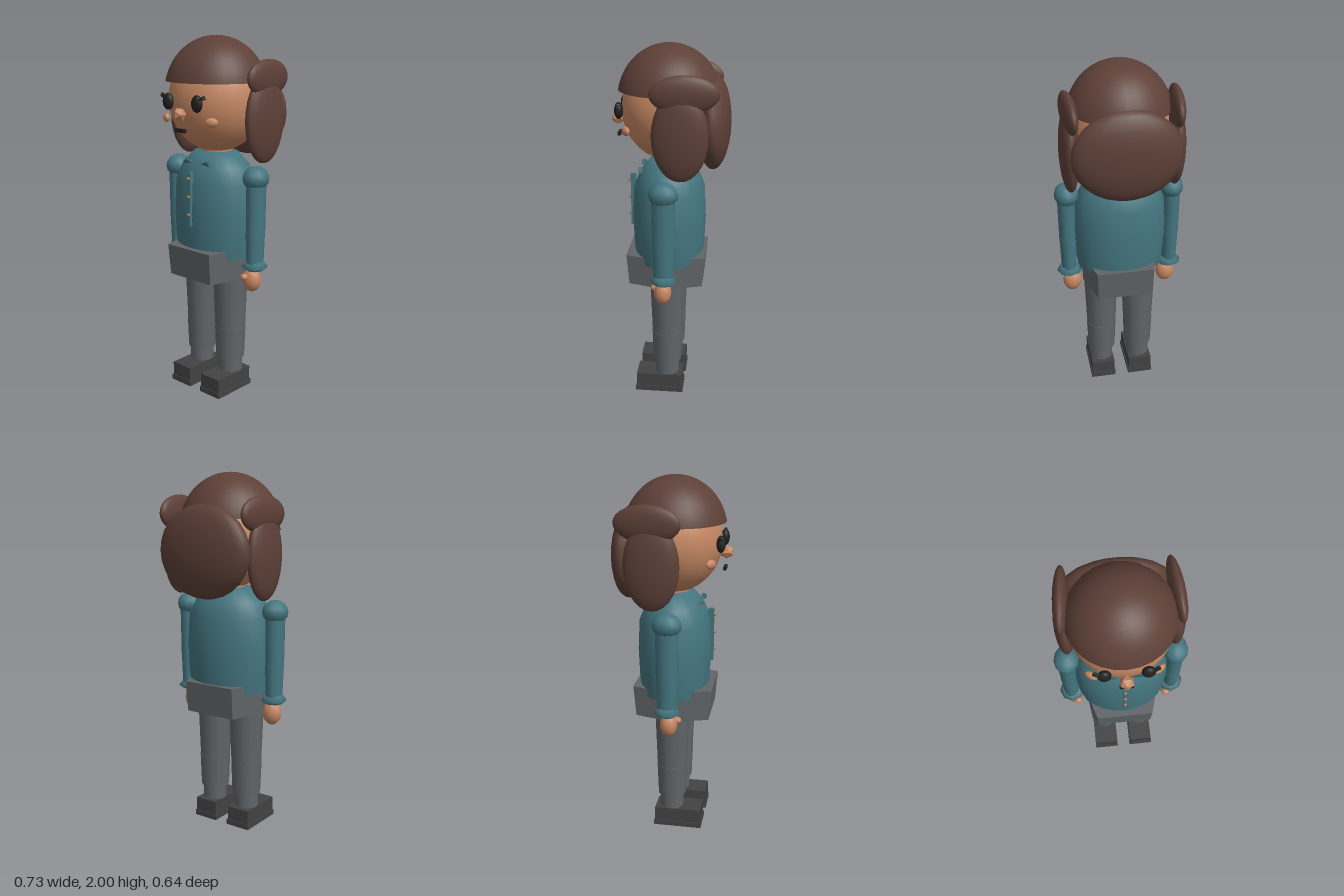
import * as THREE from 'three';

export function createModel() {
  const root = new THREE.Group();
  const mat = (name, color, side = THREE.FrontSide) => {
    const m = new THREE.MeshStandardMaterial({ color, side });
    m.name = name;
    return m;
  };
  const skin = mat('skin', 0xc68863);
  const hair = mat('brown hair', 0x5d4037, THREE.DoubleSide);
  const teal = mat('teal shirt', 0x44757f);
  const darkTeal = mat('dark teal collar', 0x37626c);
  const grey = mat('grey trousers', 0x616568);
  const shoeMat = mat('charcoal shoes', 0x424242);
  const black = mat('black features', 0x212121);
  const buttonMat = mat('tan buttons', 0xb07a50);

  const add = (name, geo, material, x = 0, y = 0, z = 0) => {
    const mesh = new THREE.Mesh(geo, material);
    mesh.name = name;
    mesh.position.set(x, y, z);
    root.add(mesh);
    return mesh;
  };
  const ellipsoid = (rx, ry, rz, w = 20, h = 14) =>
    new THREE.SphereGeometry(1, w, h).scale(rx, ry, rz);
  // Tapered cylinder standing between two heights
  const limb = (name, m, x, z, yTop, yBottom, rTop, rBottom, sides = 14) =>
    add(name, new THREE.CylinderGeometry(rTop, rBottom, yTop - yBottom, sides), m, x, (yTop + yBottom) / 2, z);
  const lathe = (points, sides) =>
    new THREE.LatheGeometry(points.map(([r, y]) => new THREE.Vector2(r, y)), sides);

  // Head and neck
  add('head', ellipsoid(0.265, 0.285, 0.265, 24, 16), skin, 0, 1.66, 0);
  limb('neck', skin, 0, 0, 1.45, 1.35, 0.085, 0.085);
  const nose = new THREE.IcosahedronGeometry(0.038, 0);
  add('nose', nose, skin, 0, 1.6, 0.287);
  add('mouth', new THREE.BoxGeometry(0.07, 0.02, 0.015), black, 0, 1.515, 0.28);

  // Hair cap, open at the fringe, and the broad back hair
  const cap = new THREE.SphereGeometry(1, 28, 12, 0, Math.PI * 2, 0, Math.acos(0.2));
  add('hairCap', cap.scale(0.282, 0.3, 0.28), hair, 0, 1.7, 0.008);
  add('backHair', ellipsoid(0.29, 0.25, 0.092), hair, 0, 1.585, -0.233);

  // Shirt body with a flat closed hem
  const torso = lathe([[0, 0.81], [0.19, 0.81], [0.19, 0.81], [0.198, 0.9], [0.204, 1.05],
    [0.196, 1.22], [0.16, 1.31], [0.105, 1.38], [0, 1.385]], 24);
  add('shirtBody', torso.scale(1.27, 1, 1), teal, 0, 0, 0.008);
  add('placket', new THREE.BoxGeometry(0.018, 0.3, 0.03), teal, 0, 1.135, 0.21);
  for (const y of [1.25, 1.15, 1.05]) {
    add('button', ellipsoid(0.01, 0.01, 0.01, 8, 6), buttonMat, 0, y, 0.227);
  }

  // Six-sided hips, widest at the sides
  const hips = new THREE.CylinderGeometry(1.05, 0.98, 0.175, 6, 1, false, Math.PI / 6).toNonIndexed();
  const p = hips.attributes.position;
  for (let i = 0; i < p.count; i++) {
    const x = p.getX(i);
    p.setX(i, Math.abs(x) < 1e-6 ? 0 : Math.sign(x) * (0.095 + 0.12 * Math.abs(x)));
    p.setZ(i, p.getZ(i) * 0.241);
  }
  hips.computeVertexNormals();
  add('hips', hips, grey, 0, 0.768, 0.016);

  for (const s of [1, -1]) {
    // Face details
    add('eye', ellipsoid(0.035, 0.045, 0.024, 16, 12), black, s * 0.106, 1.66, 0.266);
    for (const [x, y, tilt] of [[0.138, 1.69, 0.5], [0.143, 1.683, 0.25]]) {
      const lash = add('eyelash', new THREE.BoxGeometry(0.04, 0.007, 0.015), black, s * x, y, 0.267);
      lash.rotation.set(0, s * 0.3, s * tilt);
    }
    const cheek = add('cheek', ellipsoid(0.036, 0.025, 0.018, 10, 8), skin, s * 0.168, 1.565, 0.222);
    cheek.rotation.y = s * 0.6;

    // Side hair: hanging lock and the upper bunch
    add('hairLock', ellipsoid(0.053, 0.235, 0.148), hair, s * 0.278, 1.565, -0.072);
    const bunch = add('hairBunch', ellipsoid(0.038, 0.098, 0.178), hair, s * 0.278, 1.782, -0.093);
    bunch.rotation.y = s * 0.08;

    // Collar point
    const tip = new THREE.Shape();
    const corners = [[0.033, 1.326], [0.1, 1.318], [0.08, 1.345]];
    tip.setFromPoints(corners.map(([x, y]) => new THREE.Vector2(s * x, y)));
    add('collarPoint', new THREE.ExtrudeGeometry(tip, { depth: 0.025, bevelEnabled: false }), darkTeal, 0, 0, 0.145);

    // Sleeve, cuff and hand
    add('shoulder', ellipsoid(0.068, 0.065, 0.08, 12, 8), teal, s * 0.293, 1.262, 0.012);
    limb('upperSleeve', teal, s * 0.295, 0.012, 1.26, 0.96, 0.05, 0.047).scale.z = 1.25;
    add('elbow', ellipsoid(0.049, 0.045, 0.06, 12, 8), teal, s * 0.293, 0.965, 0.012);
    limb('lowerSleeve', teal, s * 0.293, 0.012, 0.97, 0.77, 0.048, 0.042).scale.z = 1.25;
    const cuff = lathe([[0, 0.753], [0.05, 0.753], [0.073, 0.77], [0.05, 0.802], [0, 0.802]], 8);
    add('cuff', cuff, teal, s * 0.29, 0, 0.012);
    add('hand', ellipsoid(0.054, 0.068, 0.048, 14, 10), skin, s * 0.276, 0.694, 0.018);
    add('thumb', ellipsoid(0.024, 0.02, 0.025, 8, 6), skin, s * 0.262, 0.715, 0.062);

    // Trouser leg in two parts, ankle and shoe
    limb('thigh', grey, s * 0.111, 0.01, 0.8, 0.37, 0.102, 0.086);
    add('knee', ellipsoid(0.087, 0.05, 0.087, 14, 8), grey, s * 0.112, 0.375, 0.01);
    limb('shin', grey, s * 0.112, 0.01, 0.38, 0.19, 0.088, 0.081);
    limb('ankle', grey, s * 0.114, 0.01, 0.2, 0.1, 0.068, 0.068);
    add('shoe', new THREE.BoxGeometry(0.137, 0.09, 0.265), shoeMat, s * 0.114, 0.065, 0.052);
    add('sole', new THREE.BoxGeometry(0.148, 0.03, 0.275), shoeMat, s * 0.114, 0.015, 0.052);
  }
  return root;
}
